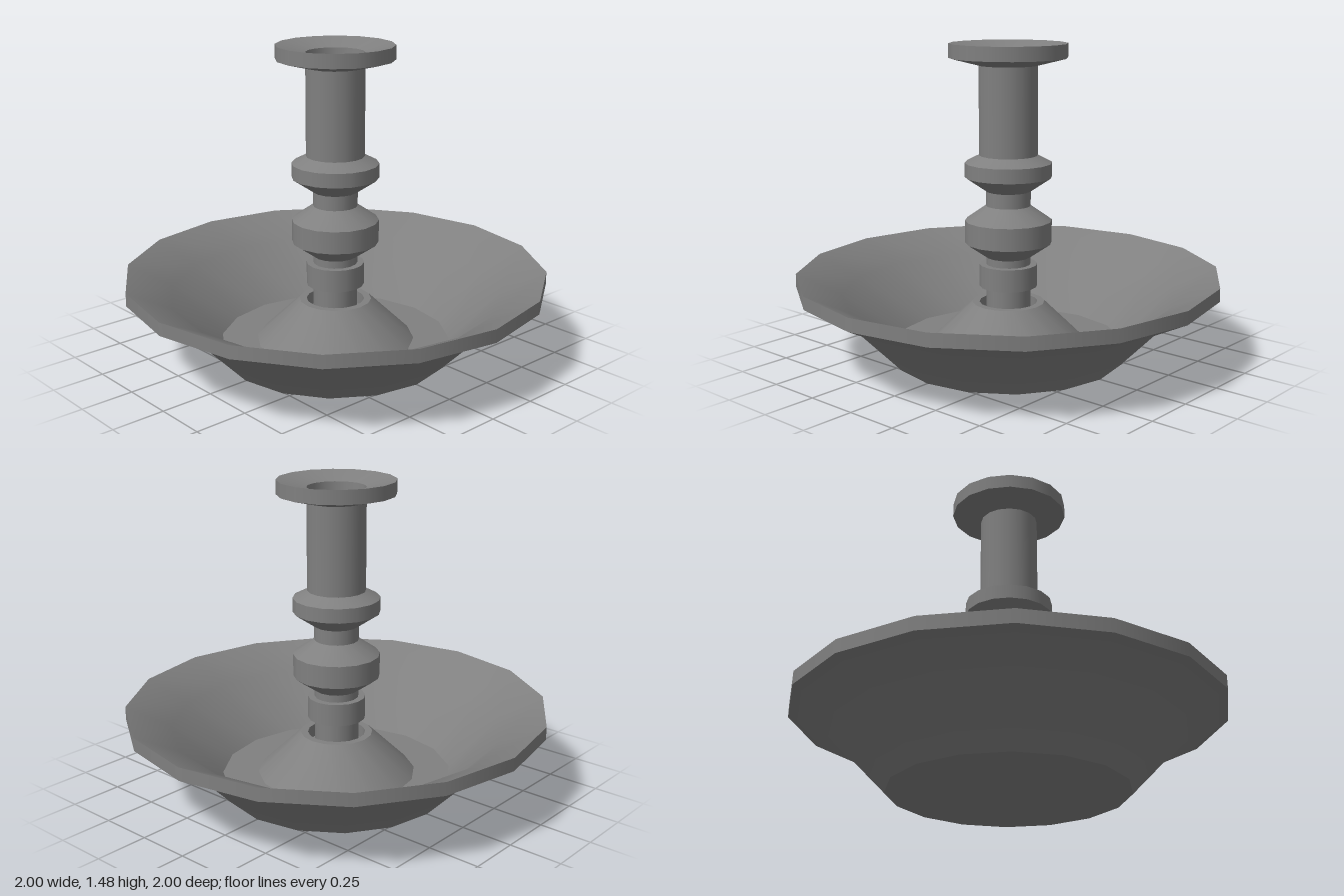
import * as THREE from 'three';
import { mergeGeometries } from 'three/addons/utils/BufferGeometryUtils.js';

const SIDES = 16;

// Turns a run of profile points [radius, height] into a smooth band.
const band = (points) =>
  new THREE.LatheGeometry(points.map(([r, y]) => new THREE.Vector2(r, y)), SIDES);

// Turns a profile with a crisp edge at every point.
const turned = (points) =>
  mergeGeometries(points.slice(1).map((p, i) => band([points[i], p])));

export function createModel() {
  const group = new THREE.Group();
  const metal = new THREE.MeshStandardMaterial({ color: 0x808080 });
  metal.name = 'grey metal';

  const add = (name, geometry) => {
    const mesh = new THREE.Mesh(geometry, metal);
    mesh.name = name;
    group.add(mesh);
  };

  // Wide drip dish: flat foot, flared outside, rim, flared inside, floor
  add('dripDish', mergeGeometries([
    band([[0, 0], [0.55, 0]]),
    band([[0.55, 0], [0.79, 0.245], [1, 0.35]]),
    band([[1, 0.35], [1, 0.412]]),
    band([[1, 0.412], [0.79, 0.307], [0.55, 0.062]]),
    band([[0.55, 0.062], [0, 0.062]]),
  ]));

  // Conical socket rising from the dish floor, hollow at the top
  add('coneSocket', turned([
    [0.378, 0.062], [0.172, 0.262], [0.138, 0.262], [0.138, 0.2], [0.1, 0.2],
  ]));

  // Turned stem with a collar and two knobs
  add('stem', turned([
    [0.105, 0.062], [0.105, 0.34], [0.137, 0.34], [0.137, 0.447], [0.105, 0.447],
    [0.105, 0.482], [0.205, 0.552], [0.205, 0.658], [0.105, 0.728],
    [0.105, 0.797], [0.205, 0.865], [0.205, 0.932], [0.137, 0.967],
  ]));

  // Candle cup: tube, flared lip and tapered hole
  add('candleCup', turned([
    [0.137, 0.967], [0.137, 1.382], [0.275, 1.417], [0.275, 1.483],
    [0.137, 1.448], [0.106, 1.1], [0, 1.1],
  ]));

  return group;
}
